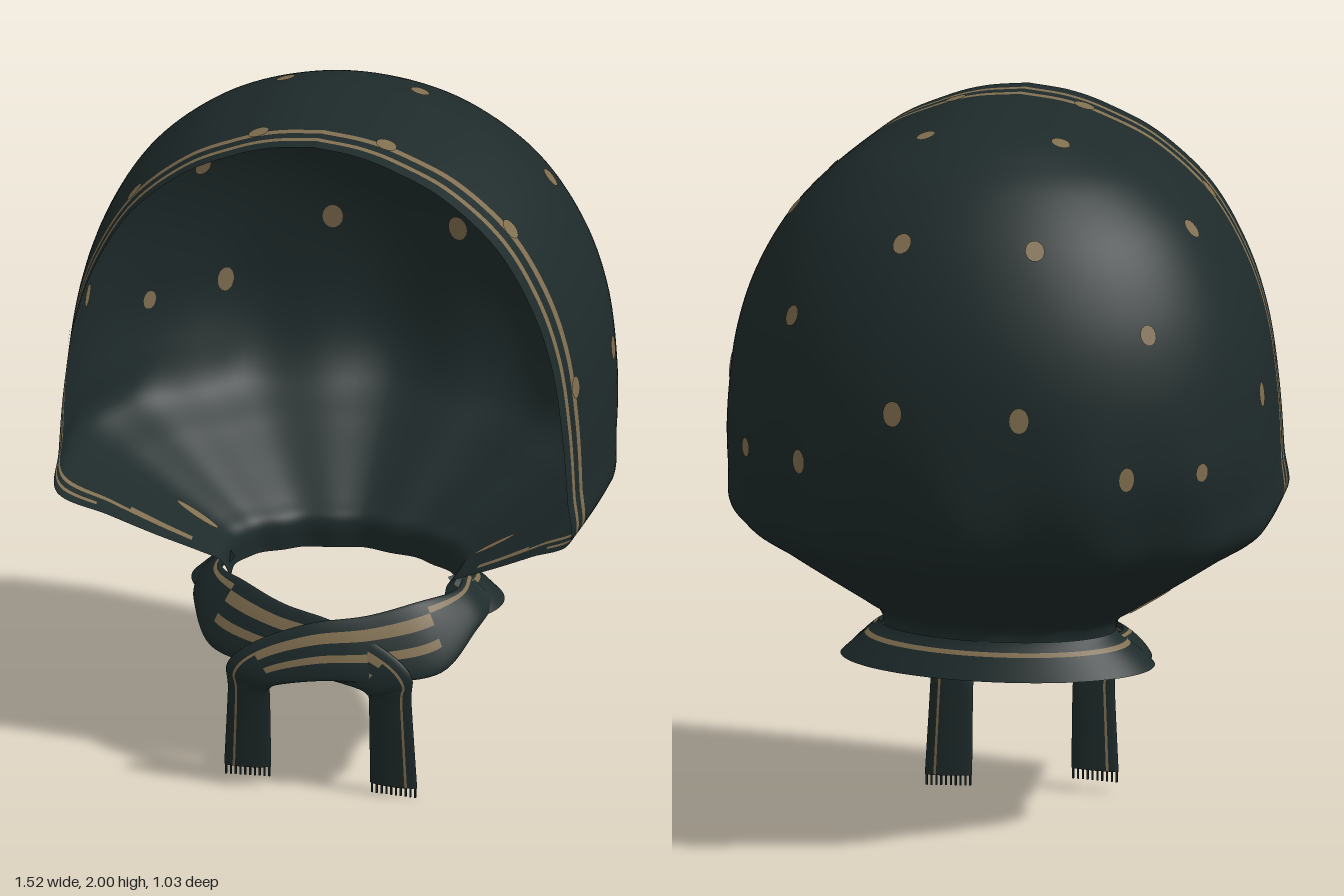
import * as THREE from 'three';

const cloth = new THREE.MeshStandardMaterial({ name: 'dark teal cloth', color: 0x1e2a2a, side: THREE.DoubleSide });
const tan = new THREE.MeshStandardMaterial({ name: 'tan print', color: 0x806e50, side: THREE.DoubleSide });
// the collar shows only its outer face
const clothOuter = new THREE.MeshStandardMaterial({ name: 'dark teal collar', color: 0x1e2a2a });
const tanOuter = new THREE.MeshStandardMaterial({ name: 'tan collar print', color: 0x806e50 });

const steps = (a, b, n) => Array.from({ length: n + 1 }, (_, i) => a + (b - a) * i / n);

// Smooth surface over two parameter lists; striped cells go to the second material
function sheet(name, us, vs, point, striped, mats) {
  const pos = [], cells = [[], []], row = us.length;
  for (const v of vs) for (const u of us) pos.push(...point(u, v).toArray());
  for (let j = 0; j < vs.length - 1; j++) for (let i = 0; i < row - 1; i++) {
    const a = j * row + i, b = a + 1, c = b + row, d = a + row;
    const k = striped((us[i] + us[i + 1]) / 2, (vs[j] + vs[j + 1]) / 2) ? 1 : 0;
    cells[k].push(a, b, c, a, c, d);
  }
  const g = new THREE.BufferGeometry();
  g.setAttribute('position', new THREE.Float32BufferAttribute(pos, 3));
  g.setIndex([...cells[0], ...cells[1]]);
  g.addGroup(0, cells[0].length, 0);
  g.addGroup(cells[0].length, cells[1].length, 1);
  g.computeVertexNormals();
  const m = new THREE.Mesh(g, mats);
  m.name = name;
  return m;
}

// Hood levels from crown to neck: height, half width, rim half width, rim z, widest z, back z
const LEVELS = [
  [2.0, 0, 0, 0.51, 0.1, 0.09],
  [1.985, 0.14, 0.12, 0.51, 0.1, -0.01],
  [1.95, 0.26, 0.23, 0.51, 0.1, -0.105],
  [1.88, 0.41, 0.37, 0.51, 0.1, -0.215],
  [1.75, 0.56, 0.515, 0.51, 0.1, -0.335],
  [1.58, 0.665, 0.615, 0.51, 0.1, -0.43],
  [1.4, 0.725, 0.675, 0.51, 0.1, -0.487],
  [1.2, 0.75, 0.705, 0.513, 0.1, -0.51],
  [1.0, 0.755, 0.72, 0.513, 0.1, -0.5],
  [0.87, 0.745, 0.725, 0.51, 0.1, -0.44],
  [0.78, 0.62, 0.6, 0.43, 0.1, -0.33],
  [0.7, 0.5, 0.48, 0.36, 0.1, -0.22],
  [0.63, 0.39, 0.375, 0.29, 0.1, -0.13],
  [0.585, 0.33, 0.32, 0.25, 0.1, -0.085],
  [0.505, 0.32, 0.3, 0.21, 0.1, -0.09],
];
const curveOf = k => new THREE.CatmullRomCurve3(LEVELS.map(l => new THREE.Vector3(l[k], l[k + 1], l[k + 2])), false, 'catmullrom', 0.5);
const widths = curveOf(0), depths = curveOf(3);

// w runs 0..4 from the right rim round the back to the left rim; t runs 0..1 from crown to neck
function hoodPoint(w, t) {
  const side = w < 2 ? -1 : 1, s = w < 2 ? w : 4 - w;
  const { x: y, y: W, z: R } = widths.getPoint(t), { x: zf, y: zm, z: zb } = depths.getPoint(t);
  if (s <= 1) return new THREE.Vector3(side * (R + (W - R) * Math.sin(s * Math.PI / 2)), y, zf + (zm - zf) * s);
  // the back is gathered into soft folds and drawn in towards the neck
  const phi = (s - 1) * Math.PI / 2, p = 0.98;
  const gather = THREE.MathUtils.smoothstep(1.35 - y, 0, 0.5);
  const tuck = THREE.MathUtils.smoothstep(1.15 - y, 0, 0.28);
  const k = 1 + gather * Math.sin(phi) * 0.024 * Math.cos(phi * 12) - tuck * 0.045 * Math.sin(phi * 2);
  const c = Math.max(0, Math.cos(phi));
  return new THREE.Vector3(side * W * k * c ** p, y, zm + (zb - zm) * k * Math.sin(phi) ** p);
}

function makeHood() {
  const half = [0, 0.05, 0.104, 0.15, 0.228, 0.284, 0.34, 0.42, 0.55, 0.7, 0.85, ...steps(1, 2, 36)];
  const ws = [...half, ...half.slice(0, -1).reverse().map(s => 4 - s)];
  // two lines follow the rim; the inner one widens and ends above the neck
  const striped = (w, t) => {
    const s = Math.min(w, 4 - w);
    return (s > 0.104 && s < 0.15 && t < 0.7) || (s > 0.228 && s < (t > 0.74 ? 0.34 : 0.284) && t < 0.84);
  };
  return sheet('hood', ws, steps(0, 1, 112), hoodPoint, striped, [cloth, tan]);
}

// Printed spots: x, y, z near the cloth, width scale, height scale; mirrored left and right
const SPOTS = [
  [0.19, 1.97, 0.03, 1, 1], [0.56, 1.75, 0.03, 1, 1.1], [0.19, 1.76, -0.31, 1, 1.15], [0.5, 1.53, -0.29, 0.9, 1.1],
  [0.185, 1.315, -0.49, 1.05, 1.35], [0.455, 1.14, -0.39, 0.9, 1.3], [0.62, 1.13, -0.22, 0.8, 1], [0.74, 1.27, 0.07, 1, 1.3],
  [0.18, 1.965, 0.396, 1.1, 1.1], [0.52, 1.74, 0.396, 1, 1.15], [0.71, 1.29, 0.396, 1, 1.2], [0.42, 0.66, 0.11, 0.65, 2.6],
];
function makeSpots() {
  const group = new THREE.Group();
  group.name = 'spots';
  const disc = new THREE.CircleGeometry(0.027, 16);
  const ws = steps(2, 4, 160), ts = steps(0, 1, 240);
  for (const [x, y, z, sx, sy] of SPOTS) {
    const target = new THREE.Vector3(x, y, z);
    let best = Infinity, bw = 0, bt = 0;
    for (const w of ws) for (const t of ts) {
      const d = hoodPoint(w, t).distanceToSquared(target);
      if (d < best) [best, bw, bt] = [d, w, t];
    }
    const e = 0.012, at = hoodPoint(bw, bt);
    const du = hoodPoint(bw + e, bt).sub(hoodPoint(bw - e, bt));
    const dv = hoodPoint(bw, bt - e).sub(hoodPoint(bw, bt + e)).normalize();
    const normal = dv.clone().cross(du).negate().normalize();
    for (const side of [-1, 1]) for (const lift of [-0.004, 0.004]) {
      const m = new THREE.Mesh(disc, tan);
      m.name = 'spot';
      const n = normal.clone(), up = dv.clone(), p = at.clone().addScaledVector(normal, lift);
      for (const q of [n, up, p]) q.x *= side;
      m.quaternion.setFromRotationMatrix(new THREE.Matrix4().makeBasis(up.clone().cross(n), up, n));
      m.position.copy(p);
      m.scale.set(sx, sy, 1);
      group.add(m);
    }
  }
  return group;
}

// Flared collar round the back and sides of the neck
function makeCollar() {
  const profile = [[0, 0.565], [0.015, 0.548], [0.032, 0.54], [0.042, 0.528], [0.07, 0.505], [0.11, 0.467]];
  const point = (a, v) => {
    const [o, y] = profile[Math.round(v)];
    return new THREE.Vector3((0.33 + o) * Math.sin(a), y, 0.09 - (0.18 + 0.55 * o) * Math.cos(a));
  };
  return sheet('collar', steps(-2, 2, 56), steps(0, 5, 5), point, (a, v) => v > 2 && v < 3, [clothOuter, tanOuter]);
}

// One scarf end: crosses the front, turns and hangs down. Rows hold its two edges.
const TIE = [
  [[0.33, 0.55, 0.1], [0.42, 0.47, 0.12]],
  [[0.33, 0.545, 0.2], [0.4, 0.45, 0.24]],
  [[0.25, 0.55, 0.3], [0.33, 0.37, 0.36]],
  [[0.12, 0.525, 0.37], [0.17, 0.355, 0.43]],
  [[-0.03, 0.505, 0.41], [0.02, 0.355, 0.455]],
  [[-0.17, 0.45, 0.43], [-0.1, 0.335, 0.462]],
  [[-0.255, 0.38, 0.44], [-0.135, 0.315, 0.457]],
  [[-0.257, 0.29, 0.437], [-0.137, 0.28, 0.44]],
  [[-0.27, 0.06, 0.425], [-0.137, 0.065, 0.425]],
];
function makeTie(name, side, dz, drop) {
  const group = new THREE.Group();
  group.name = name;
  const edge = k => new THREE.CatmullRomCurve3(TIE.map((r, i) => {
    const [x, y, z] = r[k];
    return new THREE.Vector3(side * x, y - (i > 7 ? drop : 0), z + (i > 1 ? dz : 0));
  }), false, 'catmullrom', 0.5);
  const A = edge(0), B = edge(1);
  const point = (th, t) => {
    const a = A.getPoint(t), b = B.getPoint(t);
    const half = b.clone().sub(a).multiplyScalar(0.5);
    const along = A.getTangent(t).add(B.getTangent(t));
    const n = half.clone().cross(along).normalize().multiplyScalar(side);
    return a.add(b).multiplyScalar(0.5).addScaledVector(half, -Math.cos(th)).addScaledVector(n, 0.014 * Math.sin(th));
  };
  // one thin line at the neck, two bands across the knot, one thin line down the hanging end
  const striped = (th, t) => {
    const c = Math.cos(th);
    if (t < 0.24) return c > 0.62 && c < 0.78;
    if (t < 0.66) return (c > 0.32 && c < 0.56) || (c > -0.36 && c < -0.1);
    return c > 0.5 && c < 0.62;
  };
  group.add(sheet('tieBand', steps(0, Math.PI * 2, 48), steps(0, 1, 64), point, striped, [cloth, tan]));
  // fringe threads along the hanging end
  const thread = new THREE.BoxGeometry(0.005, 0.04, 0.006);
  for (const f of steps(0.04, 0.96, 9)) {
    const m = new THREE.Mesh(thread, cloth);
    m.name = 'fringe';
    m.position.copy(A.getPoint(1).lerp(B.getPoint(1), f));
    m.position.y -= 0.01;
    group.add(m);
  }
  return group;
}

export function createModel() {
  const model = new THREE.Group();
  model.name = 'headscarf';
  model.add(makeHood(), makeSpots(), makeCollar());
  model.add(makeTie('overTie', 1, 0.008, 0), makeTie('underTie', -1, -0.018, 0.03));
  return model;
}
